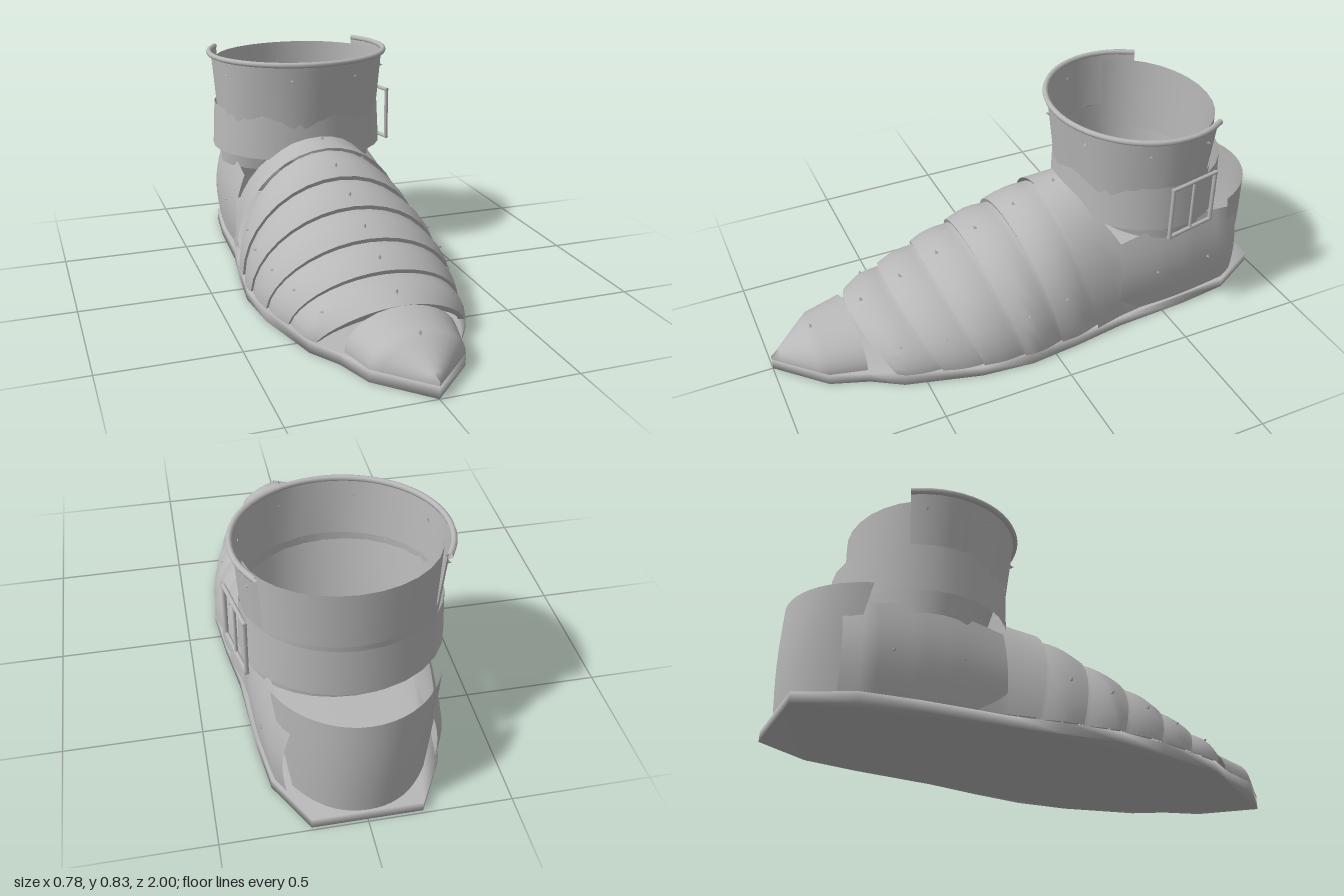
import * as THREE from 'three';
import { ParametricGeometry } from 'three/addons/geometries/ParametricGeometry.js';
import { mergeVertices } from 'three/addons/utils/BufferGeometryUtils.js';

const steel = new THREE.MeshStandardMaterial({ color: 0xb8b8b8, side: THREE.DoubleSide });
steel.name = 'steel';

// Half-width of the shoe along z, from toe to heel
const widths = [[1, 0.01], [0.83, 0.17], [0.69, 0.22], [0.58, 0.29], [0.3, 0.365], [0.1, 0.385],
  [-0.1, 0.365], [-0.3, 0.335], [-0.6, 0.32], [-0.8, 0.295], [-0.99, 0.19]];
function halfWidth(z) {
  for (let i = 1; i < widths.length; i++) {
    const [z0, w0] = widths[i - 1], [z1, w1] = widths[i];
    if (z >= z1) return w0 + (w1 - w0) * (z0 - z) / (z0 - z1);
  }
  return 0.19;
}
const lerp = THREE.MathUtils.lerp;
const BASE = 0.045;

export function createModel() {
  const model = new THREE.Group();
  const add = (name, geometry, parent = model) => {
    const mesh = new THREE.Mesh(geometry, steel);
    mesh.name = name;
    parent.add(mesh);
    return mesh;
  };
  // Thin plate from a rule (u, v) => [x, y, z]
  const plate = (name, rule, nu, nv) =>
    add(name, new ParametricGeometry((u, v, p) => p.set(...rule(u, v)), nu, nv));
  // Small pointed rivet standing along a direction
  const rivet = (x, y, z, dx, dy, dz) => {
    const mesh = add('rivet', new THREE.ConeGeometry(0.009, 0.016, 3));
    mesh.position.set(x, y, z);
    mesh.quaternion.setFromUnitVectors(new THREE.Vector3(0, 1, 0), new THREE.Vector3(dx, dy, dz).normalize());
  };

  // Flat sole with softly shaded edges
  const outline = new THREE.Shape();
  outline.moveTo(0, -1);
  widths.slice(1).forEach(([z, w]) => outline.lineTo(w, -z));
  [...widths.slice(1)].reverse().forEach(([z, w]) => outline.lineTo(-w, -z));
  let sole = new THREE.ExtrudeGeometry(outline, { depth: 0.04, bevelEnabled: false });
  sole.rotateX(-Math.PI / 2);
  sole.deleteAttribute('normal');
  sole.deleteAttribute('uv');
  sole = mergeVertices(sole);
  sole.computeVertexNormals();
  add('sole', sole);

  // Pointed toe cap
  plate('toeCap', (u, v) => {
    const a = Math.PI * u, z = lerp(0.69, 1, v);
    const w = z > 0.83 ? lerp(0.17, 0, (z - 0.83) / 0.17) : lerp(0.205, 0.17, (z - 0.69) / 0.14);
    const h = z > 0.84 ? lerp(0.105, 0.015, (z - 0.84) / 0.16) : lerp(0.135, 0.105, (z - 0.69) / 0.15);
    return [w * Math.cos(a), BASE + h * Math.sin(a), z];
  }, 14, 9);
  rivet(0, 0.155, 0.84, 0, 1, 0.3);
  rivet(0, 0.065, 0.98, 0, 1, 0.5);

  // Overlapping arched lames over the foot
  const fronts = [0.69, 0.53, 0.38, 0.22, 0.06, -0.1];
  const heights = [0.18, 0.24, 0.302, 0.37, 0.435, 0.505];
  for (let i = 0; i < 5; i++) {
    plate('footLame', (u, v) => {
      const a = Math.PI * u, s = Math.sin(a);
      const z = lerp(fronts[i], fronts[i + 1] - 0.01, v) - 0.09 * (1 - s);
      const bulge = 0.012 * Math.sin(Math.PI * Math.min(1, v * 1.05)) - 0.016 * v;
      const h = lerp(heights[i], heights[i + 1], v) - BASE + bulge;
      const w = halfWidth(z) - 0.004 + bulge * 0.7;
      return [w * Math.cos(a), BASE + h * s, z];
    }, 18, 6);
    // Turned-in front lip of the lame
    plate('lameLip', (u, v) => {
      const a = Math.PI * u, s = Math.sin(a);
      const z = fronts[i] - 0.09 * (1 - s) - 0.01 * v, k = 0.025 * v;
      return [(halfWidth(z) - 0.004 - k) * Math.cos(a), BASE + (heights[i] - BASE - k) * s, z];
    }, 18, 1);
    const zr = fronts[i] - 0.05, yr = heights[i] + 0.033;
    rivet(0, yr, zr, 0, 1, 0.4);
    for (const side of [-1, 1]) {
      const y = 0.14 + 0.02 * i, z = zr - 0.07;
      const s = (y - BASE) / (yr - BASE);
      rivet(side * (halfWidth(z) + 0.005) * Math.sqrt(1 - s * s), y, z, side, 0.4, 0.1);
    }
  }

  // Instep plate, swept back at the sides
  plate('instepPlate', (u, v) => {
    const a = Math.PI * u, s = Math.sin(a);
    const back = lerp(-0.41, -0.19, s * s);
    const z = lerp(-0.1 - 0.09 * (1 - s), back, v);
    const h = lerp(0.457, 0.48, v);
    return [(halfWidth(z) + 0.005 - 0.02 * v) * Math.cos(a), BASE + h * s, z];
  }, 20, 6);
  rivet(0, 0.53, -0.16, 0, 1, 0.2);

  // Side quarters between instep and heel, leaning in at the top
  for (const side of [-1, 1]) {
    plate(side > 0 ? 'leftQuarter' : 'rightQuarter', (u, v) => {
      const z = lerp(-0.3, -0.86, u);
      const top = 0.36 + 0.04 * Math.sin(Math.PI * u);
      const w = Math.min(halfWidth(z), 0.325) - 0.01 + 0.018 * Math.sin(Math.PI * v) - 0.03 * v * v;
      return [side * w, lerp(BASE, top, v), z];
    }, 10, 8);
    rivet(side * 0.33, 0.21, -0.46, side, 0, 0);
    rivet(side * 0.315, 0.2, -0.7, side, 0, 0);
  }

  // Rounded heel counter with a pinched base
  plate('heelCounter', (u, v) => {
    const reach = lerp(0.92, 1.13, v);
    const a = lerp(-reach, reach, u);
    const pinch = 1 - 0.1 * (1 - v) * Math.sin(2 * Math.abs(a));
    return [0.318 * pinch * Math.sin(a), lerp(BASE, 0.44, v),
      -0.62 - 0.375 * Math.cos(a) * (0.98 + 0.02 * Math.sin(Math.PI * v))];
  }, 20, 8);

  // Wall of an oval ankle tube; angle 0 faces forward
  const wall = (name, from, to, low, high, nu = 28) => plate(name, (u, v) => {
    const a = lerp(from, to, u);
    const [rx, rz, cz] = [0, 1, 2].map(k => lerp(low.r[k], high.r[k], v));
    const bottom = low.jag ? low.y + low.jag * Math.sin(a * 7) : low.y;
    return [rx * Math.sin(a), lerp(bottom, high.y, v), cz + rz * Math.cos(a)];
  }, nu, 3);
  const END = 2.13;
  wall('ankleLining', -Math.PI, Math.PI, { y: 0.36, r: [0.322, 0.235, -0.535] }, { y: 0.6, r: [0.335, 0.285, -0.51] });
  wall('backCuff', 1.7, 2 * Math.PI - 1.7, { y: 0.5, r: [0.325, 0.27, -0.51] }, { y: 0.8, r: [0.335, 0.275, -0.51] }, 14);
  wall('frontCuff', -END, END, { y: 0.58, jag: 0.025, r: [0.338, 0.3, -0.5] }, { y: 0.825, r: [0.357, 0.33, -0.5] });
  wall('ankleStrap', -Math.PI, Math.PI, { y: 0.43, r: [0.355, 0.32, -0.515] }, { y: 0.612, r: [0.345, 0.315, -0.515] });

  // Rolled rim along the top of the front cuff
  const rimPoints = [];
  for (let i = 0; i <= 20; i++) {
    const a = lerp(-END, END, i / 20);
    rimPoints.push(new THREE.Vector3(0.364 * Math.sin(a), 0.821, -0.5 + 0.334 * Math.cos(a)));
  }
  add('cuffRim', new THREE.TubeGeometry(new THREE.CatmullRomCurve3(rimPoints), 40, 0.011, 8));
  for (const a of [-1.95, -1.2, -0.32, 0.46, 1.2, 1.95]) {
    rivet(0.355 * Math.sin(a), 0.755, -0.5 + 0.33 * Math.cos(a), Math.sin(a), 0, Math.cos(a));
  }

  // Strap buckle on the left side
  const buckle = new THREE.Group();
  buckle.name = 'buckle';
  buckle.position.set(0.366, 0.525, -0.555);
  buckle.rotation.y = 0.2;
  model.add(buckle);
  const bar = new THREE.CylinderGeometry(0.008, 0.008, 0.22, 8);
  for (const s of [-1, 1]) {
    add('buckleSide', bar, buckle).position.z = s * 0.104;
    const crossbar = add('buckleBar', bar, buckle);
    crossbar.position.y = s * 0.104;
    crossbar.rotation.x = Math.PI / 2;
  }
  add('bucklePin', new THREE.CylinderGeometry(0.006, 0.006, 0.21, 8), buckle);
  return model;
}
